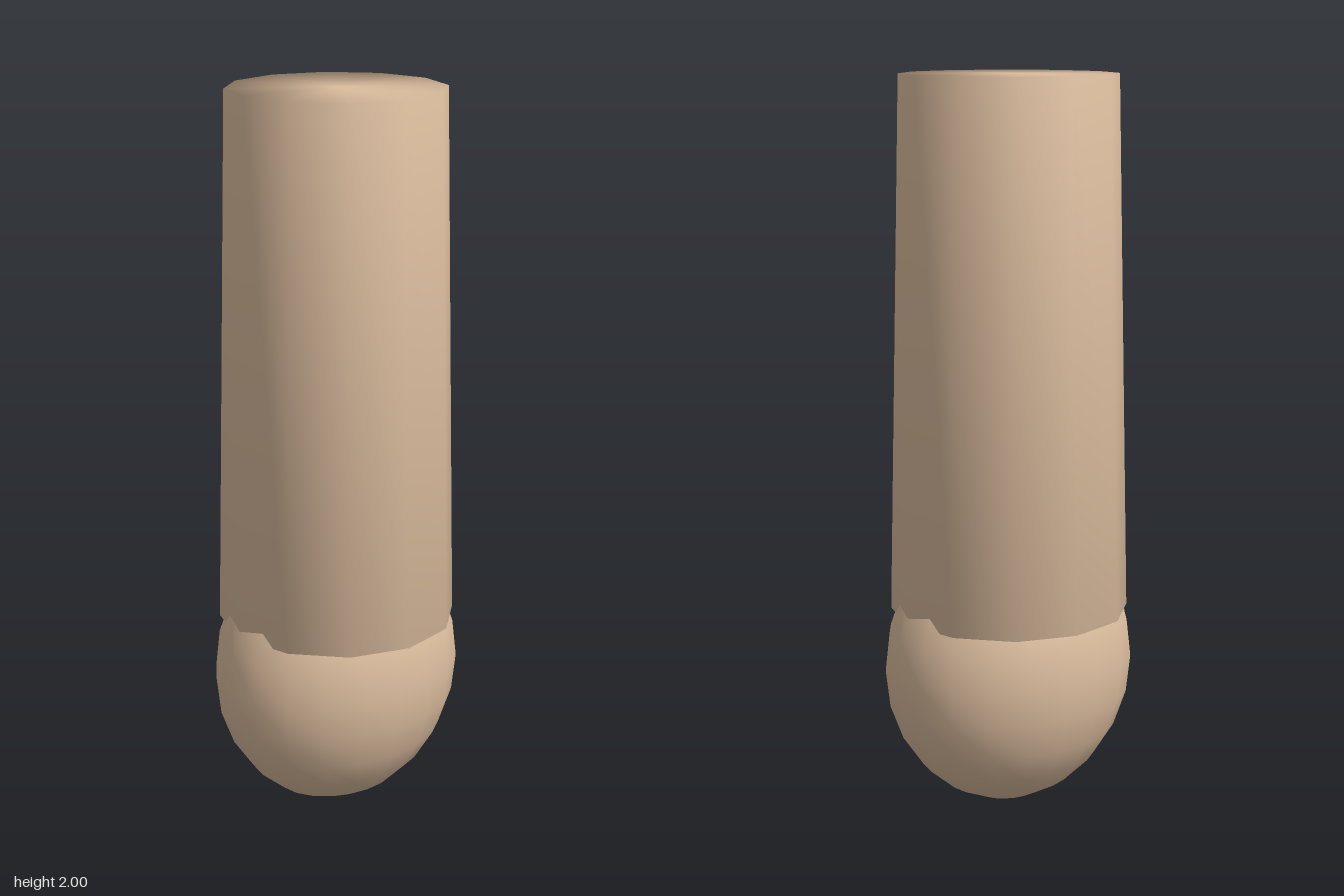
import * as THREE from 'three';

export function createModel() {
  const model = new THREE.Group();
  model.name = 'limbSegment';
  const skin = new THREE.MeshStandardMaterial({ color: 0xdebfa0 });

  // Tapered, capped twelve-sided limb; the lathe blends normals over the rims
  const profile = [[0, 0.55], [0.326, 0.55], [0.291, 2], [0, 2]]
    .map(([r, y]) => new THREE.Vector2(r, y));
  const limb = new THREE.Mesh(new THREE.LatheGeometry(profile, 12), skin);
  limb.name = 'limb';
  model.add(limb);

  // Rounded end, wider across x than z, reaching up into the limb
  const end = new THREE.SphereGeometry(1, 20, 12);
  end.scale(0.362, 0.4, 0.29);
  end.translate(0, 0.4, 0);
  const roundedEnd = new THREE.Mesh(end, skin);
  roundedEnd.name = 'roundedEnd';
  model.add(roundedEnd);

  return model;
}
